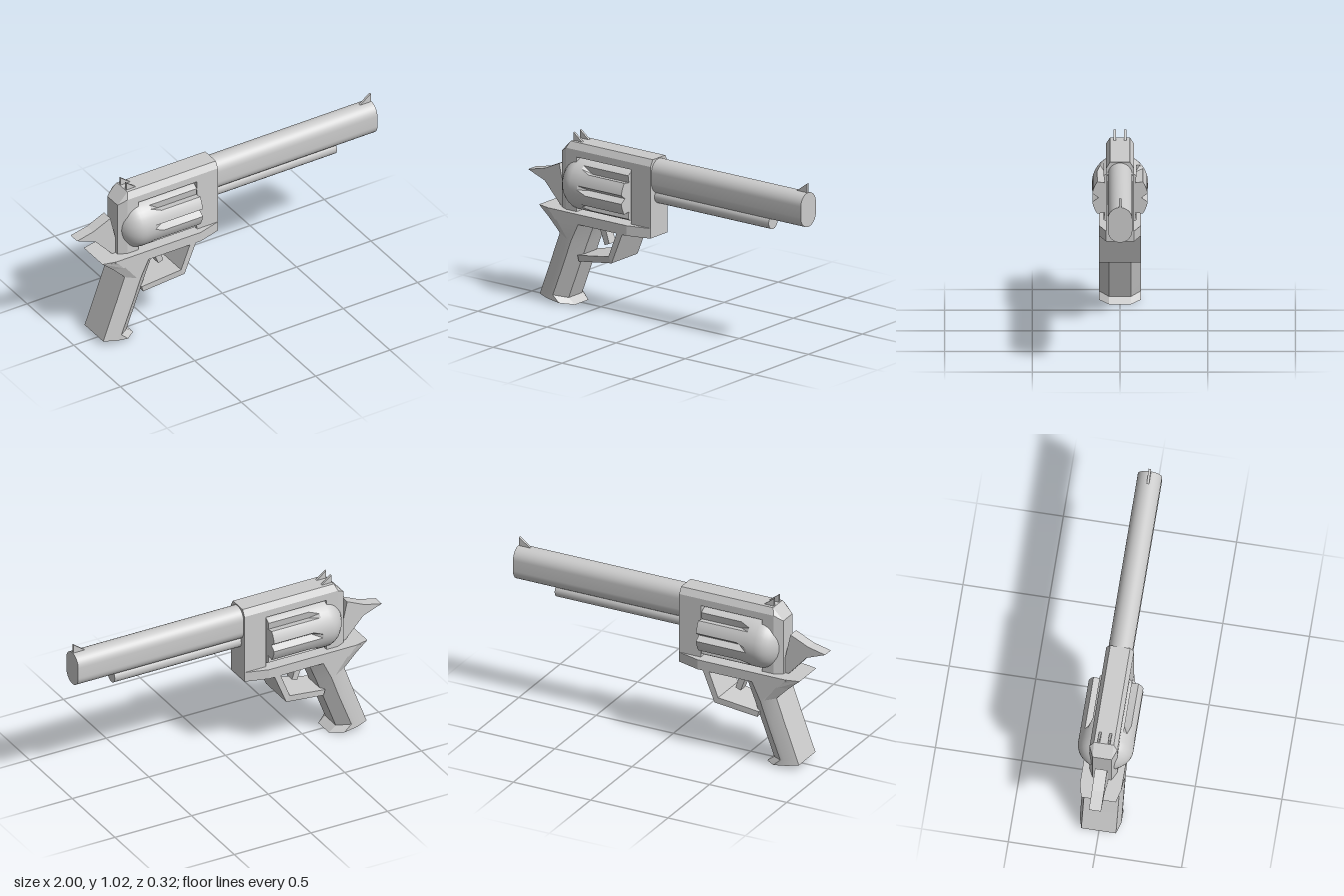
import * as THREE from 'three';
import { toCreasedNormals } from 'three/addons/utils/BufferGeometryUtils.js';
import { ConvexGeometry } from 'three/addons/geometries/ConvexGeometry.js';

const material = new THREE.MeshStandardMaterial({ color: 0xcccccc });

// Side profile [x, y] extruded evenly about a z centre
function slab(points, halfWidth, z = 0) {
  const shape = new THREE.Shape(points.map(([x, y]) => new THREE.Vector2(x, y)));
  const geo = new THREE.ExtrudeGeometry(shape, { depth: halfWidth * 2, bevelEnabled: false });
  return geo.translate(0, 0, z - halfWidth);
}

// Convex solid from [x, y, z] corners, each mirrored across z
function mirroredHull(corners) {
  const points = [];
  for (const [x, y, z] of corners) {
    points.push(new THREE.Vector3(x, y, z), new THREE.Vector3(x, y, -z));
  }
  return new ConvexGeometry(points);
}

// Closed skin over rings of points (counter-clockwise about the direction of travel)
function loft(rings, crease) {
  const pos = [], index = [], n = rings[0].length;
  rings.forEach(ring => ring.forEach(p => pos.push(...p)));
  for (let i = 0; i < rings.length - 1; i++) {
    for (let j = 0; j < n; j++) {
      const k = (j + 1) % n, a = i * n, b = a + n;
      index.push(a + j, a + k, b + k, a + j, b + k, b + j);
    }
  }
  for (const r of [0, rings.length - 1]) {
    const centre = pos.length / 3;
    pos.push(...[0, 1, 2].map(c => rings[r].reduce((s, p) => s + p[c], 0) / n));
    for (let j = 0; j < n; j++) {
      const a = r * n + j, b = r * n + (j + 1) % n;
      if (r) index.push(centre, a, b);
      else index.push(centre, b, a);
    }
  }
  const geo = new THREE.BufferGeometry();
  geo.setAttribute('position', new THREE.Float32BufferAttribute(pos, 3));
  geo.setIndex(index);
  return toCreasedNormals(geo, crease);
}

// Upright rounded barrel running along x
function barrelGeometry() {
  const r = 0.07, shape = new THREE.Shape();
  shape.absarc(0, 0.9, r, 0, Math.PI, false);
  shape.absarc(0, 0.835, r, Math.PI, Math.PI * 2, false);
  shape.closePath();
  const geo = new THREE.ExtrudeGeometry(shape, { depth: 1.09, bevelEnabled: false, curveSegments: 10 });
  return toCreasedNormals(geo.rotateY(Math.PI / 2).translate(-0.09, 0, 0), 0.6);
}

// Rotating drum: domed rear and eight V-shaped flutes open at the front
function drumGeometry() {
  const R = 0.16, cy = 0.73, flutes = 8, half = 0.16, rings = [];
  const ring = (x, radius, depth) => {
    const pts = [];
    for (let f = 0; f < flutes; f++) {
      const a = f * Math.PI * 2 / flutes;
      for (const d of [-half, 0, half, 0.3, Math.PI / 4 - 0.3]) {
        const r = radius - (d === 0 ? depth : 0);
        pts.push([x, cy + r * Math.cos(a + d), r * Math.sin(a + d)]);
      }
    }
    return pts;
  };
  for (let i = 0; i < 8; i++) {
    const t = (1 - i / 8) * Math.PI / 2 * 0.98;
    rings.push(ring(-0.605 - 0.125 * Math.sin(t), R * Math.cos(t), 0));
  }
  rings.push(ring(-0.605, R, 0), ring(-0.55, R, 0), ring(-0.49, R, 0.037), ring(-0.23, R, 0.037));
  return loft(rings, 0.5);
}

// Grip: eight-sided sections from the flared butt upward
function gripGeometry() {
  const sections = [ // back x, back y, front x, front y
    [-0.865, 0.04, -0.64, 0.005],
    [-0.85, 0.08, -0.685, 0.04],
    [-0.775, 0.28, -0.605, 0.25],
    [-0.72, 0.43, -0.555, 0.38],
    [-0.80, 0.51, -0.50, 0.515],
    [-0.86, 0.565, -0.48, 0.55],
  ];
  return loft(sections.map(([bx, by, fx, fy]) => {
    const side = 0.07;
    return [
      [fx - side, 0.12], [fx, 0.062], [fx, -0.062], [fx - side, -0.12],
      [bx + side, -0.12], [bx, -0.1], [bx, 0.1], [bx + side, 0.12],
    ].map(([x, z]) => [x, by + (fy - by) * (x - bx) / (fx - bx), z]);
  }), 0.3);
}

// Trigger guard: wide strip, narrowing along its lower run
function guardGeometry() {
  const geo = slab([
    [-0.25, 0.52], [-0.33, 0.325], [-0.59, 0.28], [-0.60, 0.315], [-0.353, 0.36], [-0.29, 0.52],
  ], 0.12);
  const p = geo.attributes.position;
  for (let i = 0; i < p.count; i++) {
    if (p.getX(i) < -0.5) p.setZ(i, p.getZ(i) * 0.75);
  }
  geo.computeVertexNormals();
  return geo;
}

export function createModel() {
  const model = new THREE.Group();
  const add = (name, geometry) => {
    const mesh = new THREE.Mesh(geometry, material);
    mesh.name = name;
    model.add(mesh);
  };

  // Barrel and the rod below it
  add('barrel', barrelGeometry());
  const rod = new THREE.CylinderGeometry(0.042, 0.042, 0.835, 20);
  add('ejectorRod', rod.rotateZ(Math.PI / 2).translate(0.328, 0.747, 0));

  // Frame around the drum window
  add('frameFront', new THREE.BoxGeometry(0.14, 0.39, 0.16).translate(-0.15, 0.705, 0));
  add('topStrap', mirroredHull([-0.62, -0.08].flatMap(x => [
    [x, 0.895, 0.08], [x, 0.937, 0.08], [x, 0.975, 0.057],
  ])));
  add('frameRear', mirroredHull([
    [-0.615, 0.56, 0.08], [-0.69, 0.56, 0.08], [-0.74, 0.56, 0.055],
    [-0.74, 0.905, 0.055], [-0.69, 0.937, 0.08], [-0.615, 0.937, 0.08],
    [-0.675, 0.975, 0.057], [-0.615, 0.975, 0.057],
  ]));
  add('framePlate', mirroredHull([
    [-0.87, 0.57, 0.1], [-0.79, 0.57, 0.12], [-0.22, 0.57, 0.12], [-0.08, 0.57, 0.08],
    [-0.80, 0.51, 0.1], [-0.74, 0.51, 0.12], [-0.22, 0.51, 0.12], [-0.08, 0.51, 0.08],
  ]));
  add('drum', drumGeometry());

  // Hammer, trigger, guard and grip
  add('hammer', slab([
    [-1, 0.74], [-0.88, 0.695], [-0.76, 0.565], [-0.72, 0.565], [-0.735, 0.64], [-0.775, 0.817], [-0.89, 0.765],
  ], 0.035));
  add('trigger', slab([[-0.50, 0.52], [-0.45, 0.39], [-0.417, 0.402], [-0.455, 0.52]], 0.03));
  add('triggerGuard', guardGeometry());
  add('grip', gripGeometry());

  // Sights
  add('frontSight', slab([[0.91, 0.96], [0.995, 0.96], [0.995, 1.023]], 0.007));
  for (const [name, z] of [['leftRearSight', -0.03], ['rightRearSight', 0.03]]) {
    add(name, slab([[-0.67, 0.965], [-0.595, 0.965], [-0.67, 1.023]], 0.007, z));
  }
  return model;
}
